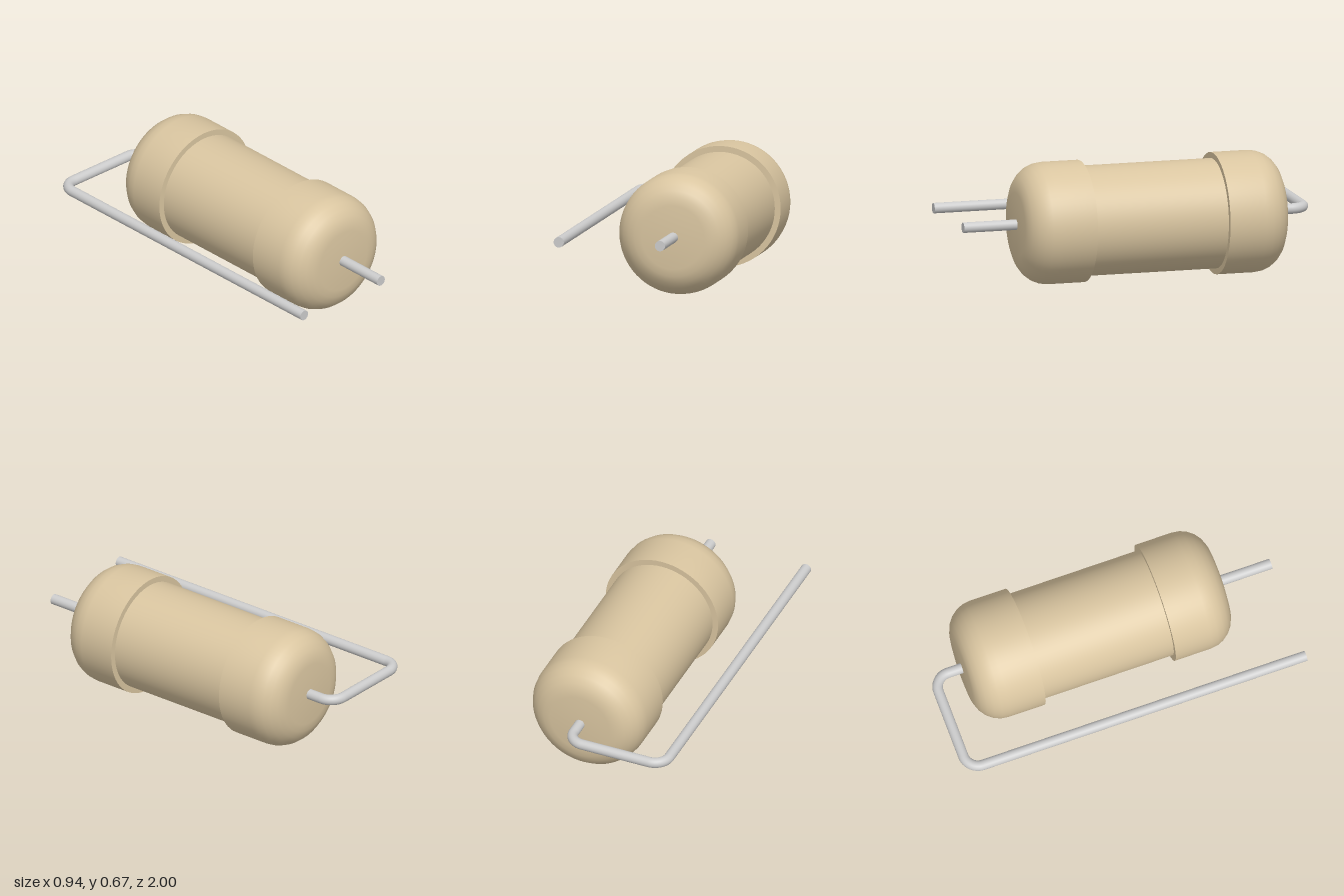
import * as THREE from 'three';
import { toCreasedNormals } from 'three/addons/utils/BufferGeometryUtils.js';

const AXIS_X = 0.13, AXIS_Y = 0.338, BODY_Z = -0.055;
const CAP_R = 0.337, BARREL_R = 0.304, HALF = 0.75, STEP = 0.38, FILLET = 0.16;
const WIRE_R = 0.029, RETURN_X = -0.442, BACK_Z = -0.971, BEND = 0.085;

export function createModel() {
  const model = new THREE.Group();
  model.name = 'resistor';
  const ceramic = new THREE.MeshStandardMaterial({ color: 0xd9c5a0 });
  const metal = new THREE.MeshStandardMaterial({ color: 0xcccccc });

  const add = (name, geometry, material, x, y, z) => {
    const mesh = new THREE.Mesh(geometry, material);
    mesh.name = name;
    mesh.position.set(x, y, z);
    model.add(mesh);
  };

  // Body: half profile with rounded end cap and a step, mirrored about the middle
  const half = [new THREE.Vector2(BARREL_R, STEP), new THREE.Vector2(CAP_R, STEP)];
  for (let i = 0; i <= 6; i++) {
    const a = (i / 6) * Math.PI / 2;
    half.push(new THREE.Vector2(
      CAP_R - FILLET + FILLET * Math.cos(a),
      HALF - FILLET + FILLET * Math.sin(a)));
  }
  half.push(new THREE.Vector2(0, HALF));
  const mirrored = half.map(p => new THREE.Vector2(p.x, -p.y)).reverse();
  const body = new THREE.LatheGeometry([...mirrored, ...half], 64).rotateX(Math.PI / 2);
  add('body', toCreasedNormals(body, 0.5), ceramic, AXIS_X, AXIS_Y, BODY_Z);

  // Straight wire pieces
  const wireZ = (name, x, z0, z1) => add(name,
    new THREE.CylinderGeometry(WIRE_R, WIRE_R, z1 - z0, 24).rotateX(Math.PI / 2),
    metal, x, AXIS_Y, (z0 + z1) / 2);
  const bendZ = BACK_Z + BEND;
  wireZ('frontLead', AXIS_X, 0.6, 1);
  wireZ('backLead', AXIS_X, bendZ, -0.7);
  wireZ('returnLead', RETURN_X, bendZ, 1);
  const crossLength = AXIS_X - RETURN_X - 2 * BEND;
  add('crossLead',
    new THREE.CylinderGeometry(WIRE_R, WIRE_R, crossLength, 24).rotateZ(Math.PI / 2),
    metal, (AXIS_X + RETURN_X) / 2, AXIS_Y, BACK_Z);

  // Quarter bends joining the wires behind the body
  const bend = (name, x, turn) => add(name,
    new THREE.TorusGeometry(BEND, WIRE_R, 24, 12, Math.PI / 2).rotateZ(turn).rotateX(-Math.PI / 2),
    metal, x, AXIS_Y, bendZ);
  bend('backBend', AXIS_X - BEND, 0);
  bend('returnBend', RETURN_X + BEND, Math.PI / 2);

  return model;
}
